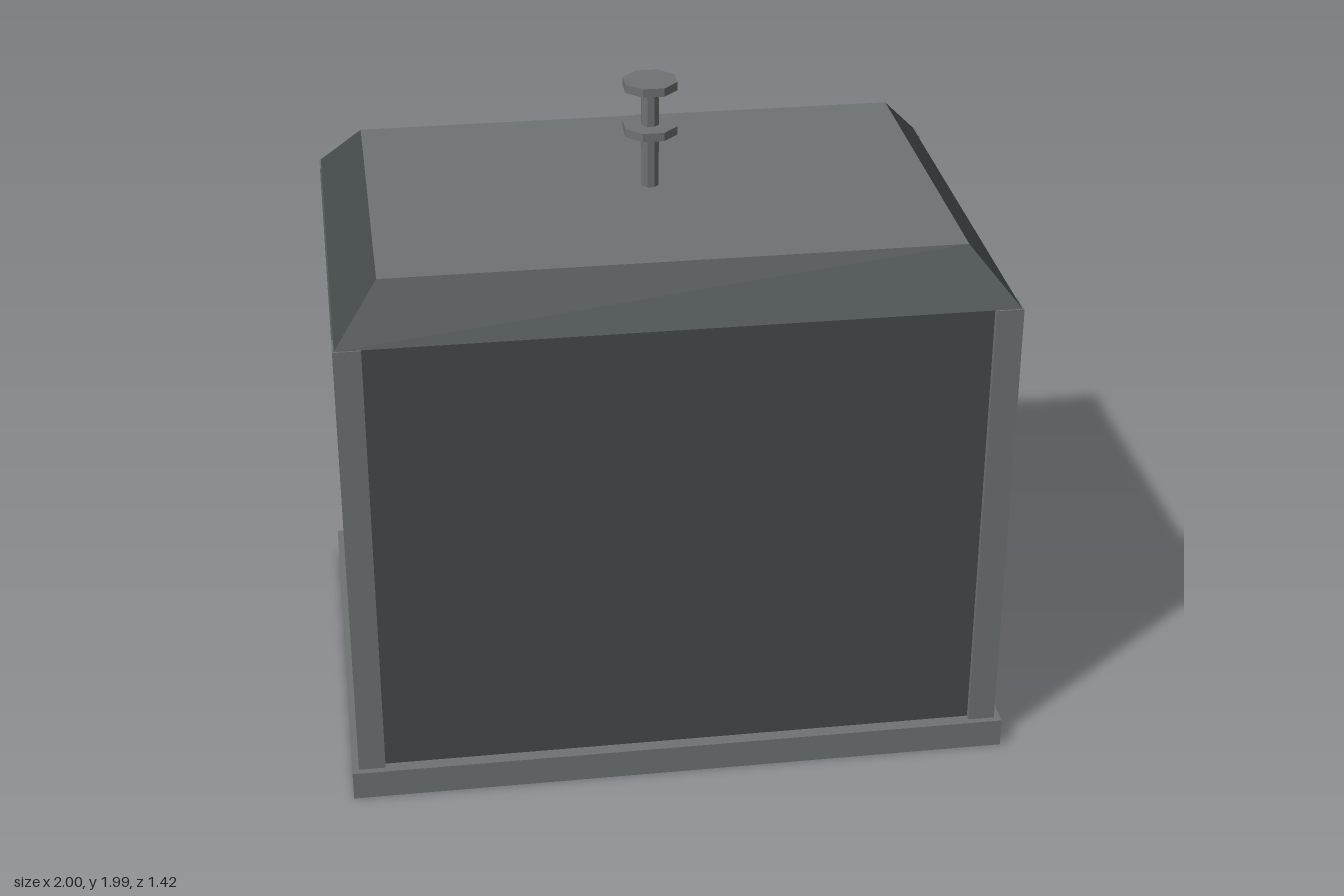
import * as THREE from 'three';

const frameGrey = new THREE.MeshStandardMaterial({ color: 0x6e7272, side: THREE.DoubleSide });
frameGrey.name = 'frame grey';
const panelGrey = new THREE.MeshStandardMaterial({ color: 0x444a4a });
panelGrey.name = 'panel dark grey';
const labelGrey = new THREE.MeshStandardMaterial({ color: 0xaaa9a5 });
labelGrey.name = 'label light grey';
const slotBlack = new THREE.MeshStandardMaterial({ color: 0x222222 });
slotBlack.name = 'slot black';

function add(parent, name, geometry, material, x = 0, y = 0, z = 0) {
  const mesh = new THREE.Mesh(geometry, material);
  mesh.name = name;
  mesh.position.set(x, y, z);
  parent.add(mesh);
  return mesh;
}

const rectPoints = (x0, x1, y0, y1) =>
  [[x0, y0], [x1, y0], [x1, y1], [x0, y1]].map(([x, y]) => new THREE.Vector2(x, y));

// Rectangular plate with a rectangular hole
function holedPlate(outer, inner, depth) {
  const shape = new THREE.Shape(rectPoints(...outer));
  shape.holes.push(new THREE.Path(rectPoints(...inner)));
  return new THREE.ExtrudeGeometry(shape, { depth, bevelEnabled: false });
}

// Tied sack silhouette, its bottom at y = 0
function sackGeometry() {
  const half = [[0.135, 0], [0.157, 0.12], [0.062, 0.265], [0.05, 0.285], [0.085, 0.378]];
  const points = [...half, ...half.map(([x, y]) => [-x, y]).reverse()];
  const shape = new THREE.Shape(points.map(([x, y]) => new THREE.Vector2(x, y)));
  return new THREE.ExtrudeGeometry(shape, { depth: 0.004, bevelEnabled: false });
}

function octagon(radius, height) {
  const geometry = new THREE.CylinderGeometry(radius, radius, height, 8).toNonIndexed();
  geometry.rotateY(Math.PI / 8);
  geometry.computeVertexNormals();
  return geometry;
}

export function createModel() {
  const model = new THREE.Group();
  model.name = 'wasteContainer';

  // Base tray, open underneath
  const tray = new THREE.BoxGeometry(2, 0.09, 1.42);
  tray.setIndex([...tray.index.array].filter((_, i) => i < 18 || i >= 24));
  tray.clearGroups();
  add(model, 'baseTray', tray, frameGrey, 0, 0.045, 0);

  // Body: core box and the back panel with its slot opening
  const opening = [-0.26, 0.26, 1.185, 1.43];
  add(model, 'body', new THREE.BoxGeometry(1.92, 1.41, 1.28), panelGrey, 0, 0.795, 0.03);
  add(model, 'backPanel', holedPlate([-0.96, 0.96, 0.09, 1.5], opening, 0.06), panelGrey, 0, 0, -0.67);

  // Corner posts
  for (const sx of [-1, 1]) for (const sz of [-1, 1]) {
    add(model, 'cornerPost', new THREE.BoxGeometry(0.08, 1.41, 0.08), frameGrey,
      sx * 0.94, 0.795, sz * 0.65);
  }

  // Lid with sloping sides
  const lid = new THREE.BoxGeometry(1.95, 0.15, 1.37);
  const p = lid.attributes.position;
  for (let i = 0; i < p.count; i++) {
    if (p.getY(i) > 0) {
      p.setX(i, Math.sign(p.getX(i)) * 0.845);
      p.setZ(i, Math.sign(p.getZ(i)) * 0.55);
    }
  }
  lid.computeVertexNormals();
  add(model, 'lid', lid,
    [panelGrey, panelGrey, frameGrey, panelGrey, panelGrey, panelGrey], 0, 1.575, 0);

  // Lifting pin with two discs
  const pin = new THREE.Group();
  pin.name = 'liftingPin';
  add(pin, 'pinShaft', octagon(0.027, 0.32), frameGrey, 0, 1.81, 0);
  for (const y of [1.832, 1.972]) add(pin, 'pinDisc', octagon(0.084, 0.026), frameGrey, 0, y, 0);
  model.add(pin);

  // Slot frame with a dark recess
  add(model, 'slotFrame', holedPlate([-0.31, 0.31, 1.135, 1.48], opening, 0.08),
    frameGrey, 0, 0, -0.69);
  add(model, 'slotRecess', new THREE.BoxGeometry(0.52, 0.245, 0.006), slotBlack, 0, 1.3075, -0.612);

  // Painted markings on the back and on the right side
  add(model, 'backLabel', new THREE.BoxGeometry(0.224, 0.14, 0.004), labelGrey, 0, 1, -0.672);
  add(model, 'backSackSign', sackGeometry(), labelGrey, 0, 0.465, -0.674);
  const sideSign = add(model, 'sideSackSign', sackGeometry(), labelGrey, -0.96, 0.7, 0);
  sideSign.rotation.y = -Math.PI / 2;

  return model;
}
